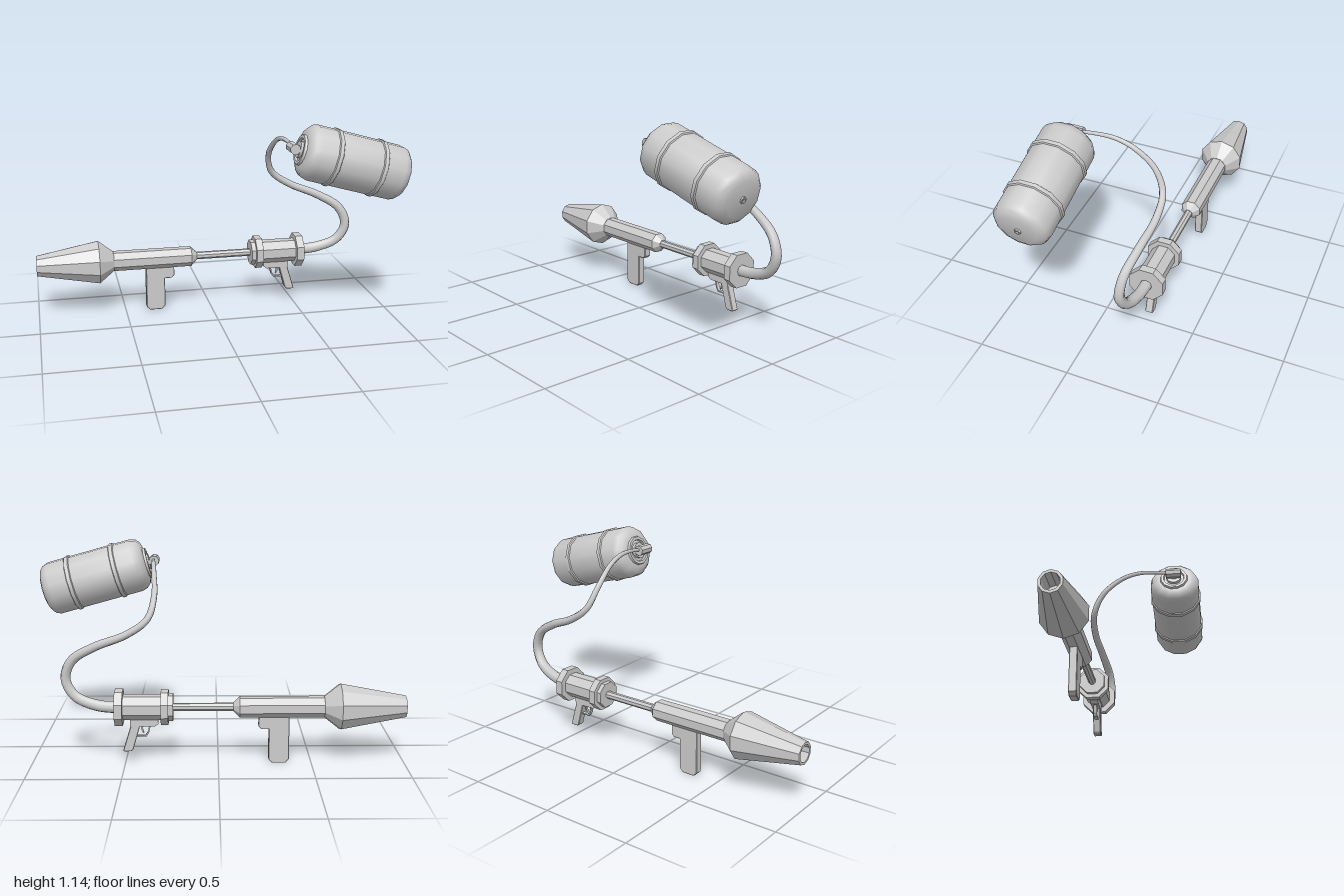
import * as THREE from 'three';
import { toCreasedNormals } from 'three/addons/utils/BufferGeometryUtils.js';

const grey = new THREE.MeshStandardMaterial({ color: 0xcccccc, side: THREE.DoubleSide });
const faceted = new THREE.MeshStandardMaterial({ color: 0xcccccc, flatShading: true, side: THREE.DoubleSide });

function add(parent, name, geometry, material = faceted) {
  const mesh = new THREE.Mesh(geometry, material);
  mesh.name = name;
  parent.add(mesh);
  return mesh;
}

// Turned part along x; profile is a list of [x, radius], with a flat side up
function turned(profile, sides, start = Math.PI / sides) {
  const points = profile.map(([x, r]) => new THREE.Vector2(r, x));
  return new THREE.LatheGeometry(points, sides, start).rotateZ(-Math.PI / 2);
}

// Flat side profile given thickness in z
function plate(points, depth, bevel = 0) {
  const shape = new THREE.Shape(points.map(([x, y]) => new THREE.Vector2(x, y)));
  const geometry = new THREE.ExtrudeGeometry(shape, {
    depth: depth - 2 * bevel, bevelEnabled: bevel > 0, bevelSize: bevel,
    bevelOffset: -bevel, bevelThickness: bevel, bevelSegments: 1,
  });
  return geometry.translate(0, 0, -depth / 2 + bevel);
}

function buildGun() {
  const gun = new THREE.Group();
  gun.name = 'gun';
  gun.position.z = -0.25;
  const axis = new THREE.Group();
  axis.name = 'barrelAssembly';
  axis.position.y = 0.31;
  gun.add(axis);

  // Hollow nozzle, forward barrel and thin lance
  add(axis, 'nozzle', turned([
    [-0.86, 0], [-0.86, 0.05], [-1, 0.046], [-1, 0.06],
    [-0.65, 0.127], [-0.565, 0.058], [-0.565, 0],
  ], 10));
  add(axis, 'barrel', turned([[-0.58, 0.058], [-0.115, 0.058], [-0.08, 0.024], [-0.08, 0]], 8));
  add(axis, 'lance', turned([[-0.1, 0.022], [0.26, 0.022]], 8));

  // Receiver with a flange at each end
  add(axis, 'receiver', turned([[0.27, 0.069], [0.53, 0.069]], 8));
  for (const [name, x0, x1, r] of [
    ['frontCollar', 0.24, 0.27, 0.074],
    ['frontFlange', 0.265, 0.305, 0.096],
    ['rearFlange', 0.507, 0.55, 0.1],
  ]) add(axis, name, turned([[x0, 0], [x0, r], [x1, r], [x1, 0]], 8));

  // Forward handle
  add(gun, 'foreGrip', plate([
    [-0.36, 0], [-0.29, 0], [-0.27, 0.02], [-0.27, 0.19], [-0.23, 0.19],
    [-0.215, 0.205], [-0.215, 0.265], [-0.38, 0.265], [-0.38, 0.02],
  ], 0.042, 0.003));

  // Pistol grip, trigger and guard
  add(gun, 'gripMount', plate([
    [0.32, 0.25], [0.32, 0.222], [0.34, 0.208], [0.47, 0.208], [0.47, 0.25],
  ], 0.045));
  add(gun, 'pistolGrip', plate([
    [0.415, 0.22], [0.465, 0.22], [0.51, 0.073], [0.505, 0.068], [0.467, 0.068], [0.455, 0.08],
  ], 0.042, 0.003));
  add(gun, 'trigger', plate([[0.398, 0.215], [0.415, 0.215], [0.412, 0.185], [0.402, 0.165], [0.397, 0.168], [0.404, 0.19]], 0.012));
  add(gun, 'triggerGuard', plate([
    [0.36, 0.215], [0.368, 0.215], [0.378, 0.172], [0.39, 0.154], [0.44, 0.154],
    [0.442, 0.147], [0.385, 0.147], [0.371, 0.168],
  ], 0.02));
  return gun;
}

function buildTank() {
  const tank = new THREE.Group();
  tank.name = 'tank';
  tank.position.set(0.685, 0.94, 0.218);
  tank.rotation.z = -0.272;
  const crease = (geometry) => toCreasedNormals(geometry, 0.7);

  // Rounded cylinder body
  add(tank, 'tankBody', crease(turned([
    [-0.295, 0], [-0.295, 0.095], [-0.285, 0.122], [-0.265, 0.142], [-0.235, 0.151],
    [0.245, 0.151], [0.272, 0.142], [0.29, 0.122], [0.3, 0.095], [0.3, 0],
  ], 12)), grey);
  for (const x of [-0.128, 0.13]) {
    add(tank, 'tankBand', crease(turned([
      [x - 0.016, 0.148], [x - 0.01, 0.158], [x + 0.01, 0.158], [x + 0.016, 0.148],
    ], 12)), grey);
  }

  // Raised ring, neck and valve at the hose end, small plug at the other
  add(tank, 'endRing', crease(turned([
    [-0.29, 0.06], [-0.308, 0.064], [-0.308, 0.08], [-0.29, 0.086],
  ], 12)), grey);
  add(tank, 'neck', crease(turned([[-0.345, 0.022], [-0.315, 0.022], [-0.315, 0.045], [-0.29, 0.045]], 12)), grey);
  const valve = add(tank, 'valve', new THREE.CylinderGeometry(0.029, 0.029, 0.09, 8).rotateX(Math.PI / 2));
  valve.position.x = -0.342;
  add(tank, 'plug', crease(turned([[0.295, 0.019], [0.308, 0.017], [0.308, 0.01], [0.3, 0.008], [0.3, 0]], 8)), grey);
  return tank;
}

// Hose narrowing from receiver to tank valve
function buildHose() {
  const path = new THREE.CatmullRomCurve3([
    [0.53, 0.308, -0.25], [0.65, 0.32, -0.245], [0.765, 0.368, -0.228], [0.813, 0.46, -0.217],
    [0.775, 0.56, -0.225], [0.65, 0.64, -0.25], [0.48, 0.71, -0.273], [0.37, 0.79, -0.265],
    [0.335, 0.9, -0.21], [0.34, 1.0, -0.1], [0.348, 1.04, 0.0], [0.355, 1.045, 0.1], [0.36, 1.035, 0.2],
  ].map((p) => new THREE.Vector3(...p)));
  const rings = 60, sides = 8;
  const geometry = new THREE.TubeGeometry(path, rings, 1, sides);
  const position = geometry.attributes.position;
  const v = new THREE.Vector3();
  for (let i = 0; i <= rings; i++) {
    const centre = path.getPointAt(i / rings);
    const radius = THREE.MathUtils.lerp(0.033, 0.009, i / rings);
    for (let j = 0; j <= sides; j++) {
      const k = i * (sides + 1) + j;
      v.fromBufferAttribute(position, k).sub(centre).multiplyScalar(radius).add(centre);
      position.setXYZ(k, v.x, v.y, v.z);
    }
  }
  return geometry;
}

export function createModel() {
  const model = new THREE.Group();
  model.name = 'sprayerWithTank';
  model.add(buildGun(), buildTank());
  add(model, 'hose', buildHose(), grey);
  return model;
}
